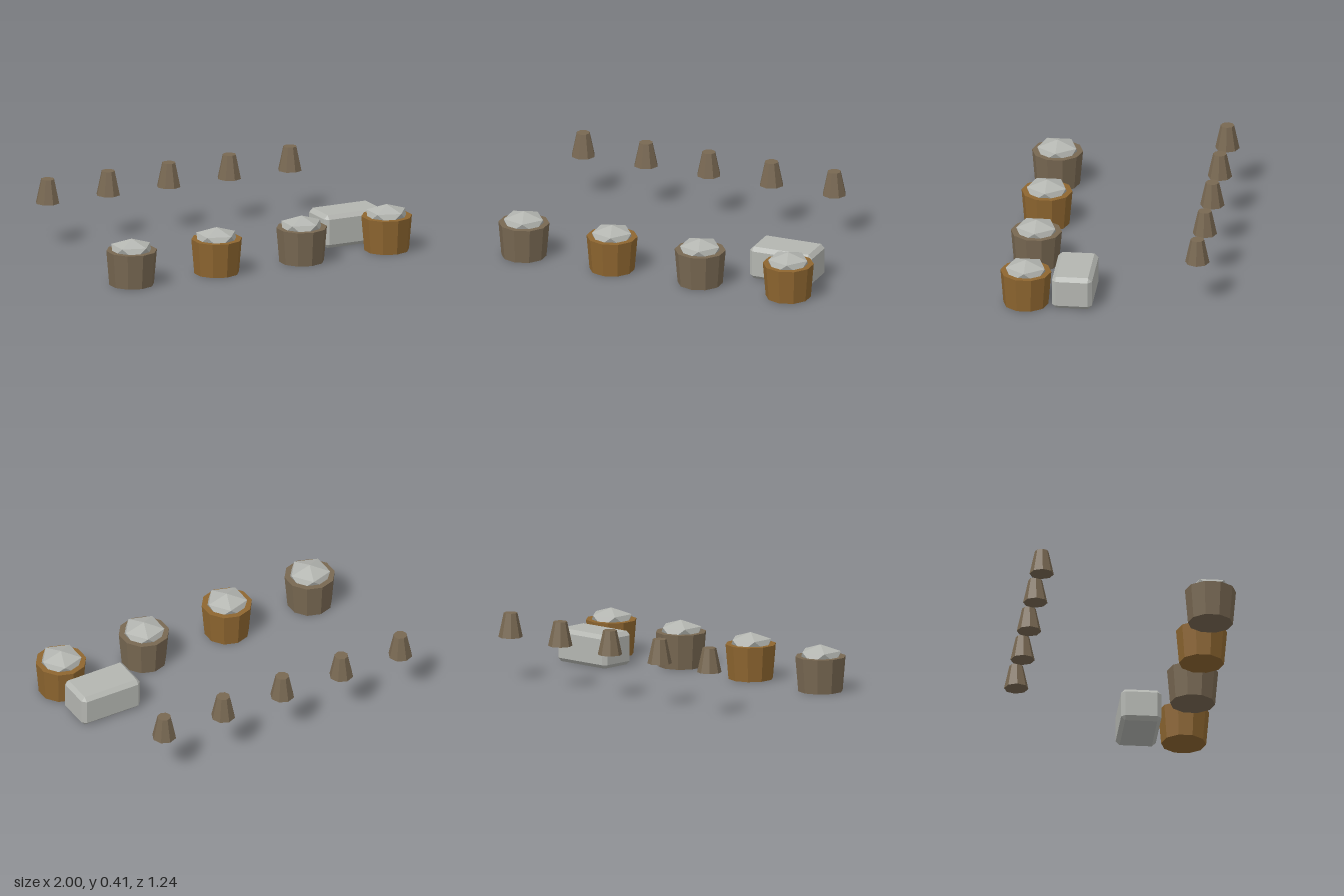
import * as THREE from 'three';
import { ConvexGeometry } from 'three/addons/geometries/ConvexGeometry.js';

const flat = (color) => new THREE.MeshStandardMaterial({ color, flatShading: true });

// Box with every edge cut by a single flat bevel
function bevelledBox(w, h, d, b) {
  const points = [];
  for (const sx of [-1, 1]) for (const sy of [-1, 1]) for (const sz of [-1, 1]) {
    for (let axis = 0; axis < 3; axis++) {
      const inset = [b, b, b];
      inset[axis] = 0;
      points.push(new THREE.Vector3(
        sx * (w / 2 - inset[0]), sy * (h / 2 - inset[1]), sz * (d / 2 - inset[2])));
    }
  }
  return new ConvexGeometry(points);
}

export function createModel() {
  const model = new THREE.Group();
  const greyWood = flat(0x786852);
  const brownWood = flat(0x8e6630);
  const stone = flat(0xb4b6b1);

  const add = (parent, name, geometry, material, x, y, z) => {
    const mesh = new THREE.Mesh(geometry, material);
    mesh.name = name;
    mesh.position.set(x, y, z);
    parent.add(mesh);
  };

  // Tubs with a faceted heap, alternating wood colours
  const tub = new THREE.CylinderGeometry(0.153, 0.135, 0.21, 10);
  const heap = new THREE.IcosahedronGeometry(0.138, 0)
    .rotateZ(-Math.atan(2 / (1 + Math.sqrt(5)))) // one corner straight up
    .scale(1, 0.5, 1);
  for (let i = 0; i < 4; i++) {
    const barrel = new THREE.Group();
    barrel.name = 'filledTub';
    barrel.position.set(-0.855 + i * 0.57, 0, 0.465);
    add(barrel, 'tub', tub, i % 2 ? brownWood : greyWood, 0, 0.105, 0);
    add(barrel, 'heap', heap, stone, 0, 0.211, 0);
    model.add(barrel);
  }

  // Row of raised tapered pegs at the back
  const peg = new THREE.CylinderGeometry(0.041, 0.073, 0.147, 8);
  for (let i = 0; i < 5; i++) {
    add(model, 'peg', peg, greyWood, -0.897 + i * 0.406, 0.334, -0.55);
  }

  // Bevelled stone block
  add(model, 'block', bevelledBox(0.402, 0.203, 0.241, 0.024), stone, 0.731, 0.1015, 0.183);

  return model;
}
